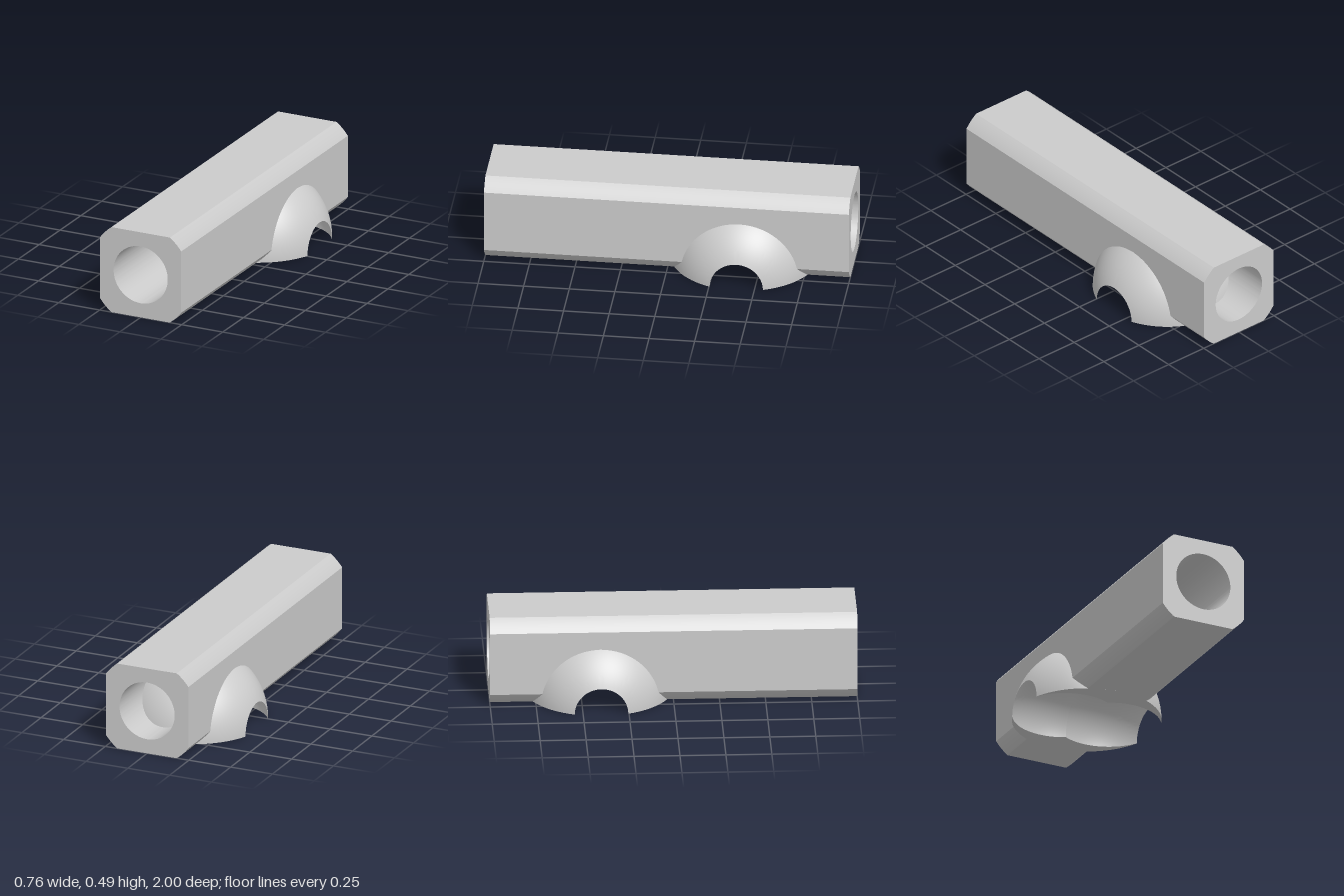
import * as THREE from 'three';
import { toCreasedNormals } from 'three/addons/utils/BufferGeometryUtils.js';

const H = 0.247;        // half width of the bar, also the height of its axis
const FLAT = 0.178;     // half width of each flat side
const BORE = 0.165;     // bore radius
const R = 0.407;        // dome radius
const ZC = -0.4;        // dome position along the bar
const EDGE = 0.38;      // where the pockets break through the dome
const RIDGE = 0.25;     // radius of the ridge between the two pockets
const PC = (R * R - RIDGE * RIDGE) / (2 * EDGE);  // pocket centre offset
const PR = Math.hypot(PC, RIDGE);                 // pocket radius

const V2 = (x, y) => new THREE.Vector2(x, y);

// Square with rounded-off corners, counter-clockwise
function barProfile() {
  const pts = [];
  const a0 = Math.atan2(FLAT, H), a1 = Math.atan2(H, FLAT), rc = Math.hypot(H, FLAT);
  for (let k = 0; k < 4; k++) {
    const add = (x, y) => pts.push(V2(x, y).rotateAround(V2(0, 0), k * Math.PI / 2).add(V2(0, H)));
    for (let i = 0; i <= 64; i++) add(H, FLAT * (i / 32 - 1));
    for (let i = 1; i < 8; i++) {
      const a = a0 + (a1 - a0) * i / 8;
      add(rc * Math.cos(a), rc * Math.sin(a));
    }
  }
  return pts;
}

function boreProfile() {
  return Array.from({ length: 128 }, (_, i) => {
    const a = i / 128 * Math.PI * 2;
    return V2(BORE * Math.cos(a), H + BORE * Math.sin(a));
  });
}

// Sweeps a closed profile along z, leaving out the stretch inside the dome
function sweptSkin(profile) {
  const pos = [];
  const halfGap = (p) => Math.sqrt(Math.max(0, R * R - p.lengthSq()));
  profile.forEach((p, i) => {
    const q = profile[(i + 1) % profile.length];
    const wp = halfGap(p), wq = halfGap(q);
    for (const [pf, pb, qf, qb] of [[1, ZC + wp, 1, ZC + wq], [ZC - wp, -1, ZC - wq, -1]]) {
      pos.push(p.x, p.y, pf, p.x, p.y, pb, q.x, q.y, qf);
      pos.push(q.x, q.y, qf, p.x, p.y, pb, q.x, q.y, qb);
    }
  });
  const geo = new THREE.BufferGeometry();
  geo.setAttribute('position', new THREE.Float32BufferAttribute(pos, 3));
  return toCreasedNormals(geo, 0.5);
}

// Cross-section of the dome wall: x = radius, y = position along the axis
function domeProfile() {
  const pts = [];
  const arc = (c, r, from, to, n) => {
    for (let i = 0; i <= n; i++) {
      const a = from + (to - from) * i / n;
      pts.push(V2(r * Math.cos(a), c + r * Math.sin(a)));
    }
  };
  const aOut = Math.asin(EDGE / R);
  const aIn = Math.asin((EDGE - PC) / PR), aRidge = Math.asin(-PC / PR);
  arc(0, R, -aOut, aOut, 48);
  arc(PC, PR, aIn, aRidge, 28);
  arc(-PC, PR, -aRidge, -aIn, 28);
  return pts.filter((p, i) => i === 0 || p.distanceTo(pts[i - 1]) > 1e-5);
}

export function createModel() {
  const model = new THREE.Group();
  const material = new THREE.MeshStandardMaterial({ color: 0xcccccc });
  const add = (name, geo) => {
    const mesh = new THREE.Mesh(geo, material);
    mesh.name = name;
    model.add(mesh);
    return mesh;
  };

  // Bar with a round bore along it
  const outline = barProfile(), bore = boreProfile();
  add('barSkin', sweptSkin(outline));
  add('boreWall', sweptSkin([...bore].reverse()));

  // End faces
  const face = new THREE.Shape(outline);
  face.holes.push(new THREE.Path(bore));
  const end = new THREE.ShapeGeometry(face);
  add('frontEnd', end).position.z = 1;
  const back = add('backEnd', end);
  back.position.z = -1;
  back.rotation.y = Math.PI;

  // Half dome across the bar with two round pockets inside
  const section = domeProfile();
  const dome = new THREE.LatheGeometry([...section, section[0].clone()], 64, Math.PI, Math.PI);
  dome.rotateZ(-Math.PI / 2);
  add('dome', toCreasedNormals(dome, 0.5)).position.z = ZC;

  // Flat underside of the dome wall
  for (const s of [1, -1]) {
    const rim = new THREE.ShapeGeometry(new THREE.Shape(section.map((p) => V2(p.y, s * p.x))));
    rim.rotateX(Math.PI / 2);
    add(s > 0 ? 'frontRim' : 'backRim', rim).position.z = ZC;
  }
  return model;
}
